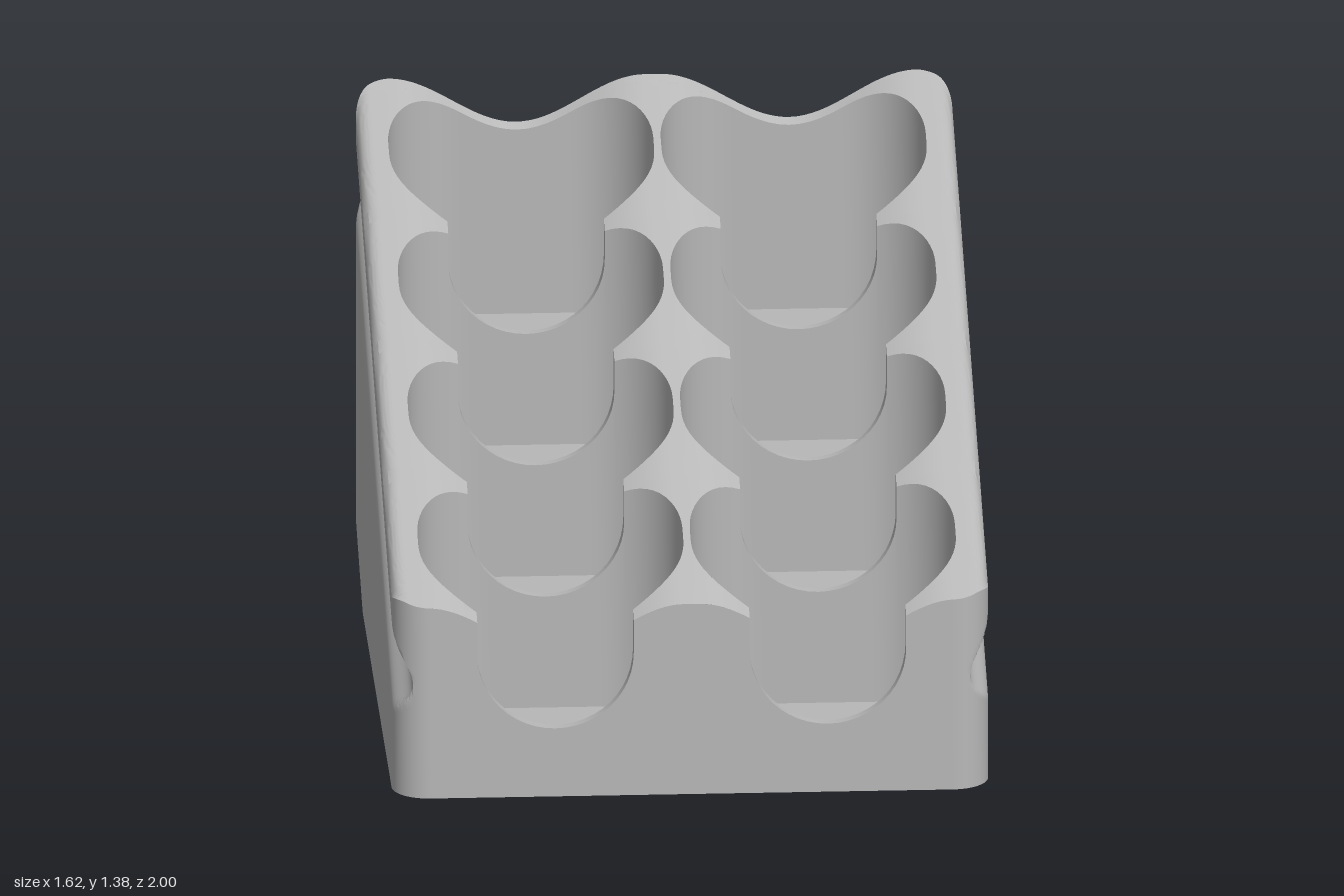
import * as THREE from 'three';
import { mergeGeometries, toCreasedNormals } from 'three/addons/utils/BufferGeometryUtils.js';

// Main sizes
const HX = 0.81, CORNER = 0.1, FLAT_X = HX - CORNER, FLAT_Z = 1 - CORNER;
const COL = 0.37;                                   // column centre, mirrored in x
const ROWS = [0, 1, 2, 3].map(i => 0.737 - 0.4915 * i);
const WR = 0.21, WX = 0.15, WZ = 0.0225;            // well corner radius and flats
const SLOT = 0.2125;                                // slot half width and bottom radius
const BREAK_Z = -0.565;                             // where the rear bevel starts
const slotBottom = i => 0.195 + 0.208 * i;
const floorY = i => slotBottom(i) - 0.11;

const range = (a, b, n) => Array.from({ length: n + 1 }, (_, i) => a + (b - a) * i / n);
const slope = z => 0.545 + 0.417 * (1 - z);
const bottomY = z => Math.max(0, (BREAK_Z - z) * 0.437);

// Sloped top with a wavy dip over each column and softened side edges
function topY(x, z) {
  const ax = Math.abs(x), d = Math.abs(ax - COL);
  const dip = d < 0.35 ? 0.065 * (1 + Math.cos(Math.PI * d / 0.35)) : 0;
  const e = Math.min(0.04, Math.max(0, ax - HX + 0.04));
  return slope(z) - dip - (0.04 - Math.sqrt(0.0016 - e * e));
}

// Half width of the rounded block at depth z
function outerX(z) {
  const d = Math.max(0, Math.abs(z) - FLAT_Z);
  return FLAT_X + Math.sqrt(Math.max(0, CORNER * CORNER - d * d));
}

// Well outline: half width at dz, and half depth at dx
const wellHalf = dz => WX + Math.sqrt(Math.max(0, WR * WR - Math.max(0, Math.abs(dz) - WZ) ** 2));
const wellEdge = dx => WZ + Math.sqrt(Math.max(0, WR * WR - Math.max(0, Math.abs(dx) - WX) ** 2));

// Half width of the opening in the top: wells joined by slots
function openHalf(z) {
  const i = ROWS.reduce((best, r, k) => Math.abs(z - r) < Math.abs(z - ROWS[best]) ? k : best, 0);
  const dz = z - ROWS[i];
  if (i === 3 && dz < 0) return wellHalf(dz);
  return Math.max(SLOT, wellHalf(dz));
}

// Surface through rows of [x, y, z] points
function loft(rows) {
  const pos = [], v = p => new THREE.Vector3(...p);
  const tri = (a, b, c) => {
    const n = v(b).sub(v(a)).cross(v(c).sub(v(a)));
    if (n.length() > 1e-9) pos.push(...a, ...b, ...c);
  };
  for (let i = 0; i < rows.length - 1; i++) {
    for (let j = 0; j < rows[i].length - 1; j++) {
      const a = rows[i][j], b = rows[i][j + 1], c = rows[i + 1][j + 1], d = rows[i + 1][j];
      tri(a, b, d);
      tri(b, c, d);
    }
  }
  const g = new THREE.BufferGeometry();
  g.setAttribute('position', new THREE.Float32BufferAttribute(pos, 3));
  return g;
}

// Vertical wall over points {x, z, lo, hi}
const wall = pts => loft([pts.map(p => [p.x, p.lo, p.z]), pts.map(p => [p.x, p.hi, p.z])]);

// Semicircular slot bottom as [dx, rise], left to right
const U = range(Math.PI, 0, 24).map(a => [SLOT * Math.cos(a), SLOT * (1 - Math.sin(a))]);
const ARC = range(0, Math.acos((SLOT - WX) / WR), 12).map(a => WZ + WR * Math.sin(a));
const CORNER_ANGLES = range(0, Math.PI / 2, 16);
const CORNER_Z = CORNER_ANGLES.map(a => FLAT_Z + CORNER * Math.sin(a));

function topSurface() {
  const backZ = ROWS[3] - WZ - WR;
  const zs = [...CORNER_Z, ...CORNER_Z.map(z => -z), backZ];
  ROWS.forEach(r => ARC.forEach(d => zs.push(r + d, r - d)));
  U.forEach(([dx]) => zs.push(ROWS[3] - wellEdge(dx)));
  zs.sort((a, b) => b - a);
  const row = (z, a, b, n) => range(a, b, n).map(x => [x, topY(x, z), z]);
  const open = zs.filter(z => z >= backZ), back = zs.filter(z => z <= backZ);
  return [
    loft(open.map(z => row(z, -outerX(z), -COL - openHalf(z), 18))),
    loft(open.map(z => row(z, -COL + openHalf(z), COL - openHalf(z), 18))),
    loft(open.map(z => row(z, COL + openHalf(z), outerX(z), 18))),
    loft(back.map(z => row(z, -outerX(z), outerX(z), 72))),
  ];
}

// Side wall with rounded corners and a long grip groove parallel to the top
function sideWall(side) {
  const path = [
    ...CORNER_ANGLES.map(a => [FLAT_X + CORNER * Math.sin(a), FLAT_Z + CORNER * Math.cos(a)]),
    [HX, BREAK_Z],
    ...CORNER_ANGLES.map(a => [FLAT_X + CORNER * Math.cos(a), -FLAT_Z - CORNER * Math.sin(a)]),
  ];
  const groove = off => 0.0265 * (1 + Math.cos(Math.PI * (off - 0.23) / 0.125));
  const rows = [
    path.map(([x, z]) => [x, bottomY(z), z]),
    ...range(0.355, 0.105, 20).map(off =>
      path.map(([x, z]) => [Math.min(x, HX - groove(off)), slope(z) - off, z])),
    path.map(([x, z]) => [x, topY(x, z), z]),
  ];
  return loft(side > 0 ? rows : rows.map(r => r.map(([x, y, z]) => [-x, y, z]).reverse()));
}

function frontWall() {
  const plain = (a, b) => range(a, b, 10).map(x => ({ x, z: 1, lo: 0, hi: topY(x, 1) }));
  const notch = cx => U.map(([dx, r]) => ({ x: cx + dx, z: 1, lo: 0, hi: slotBottom(0) + r }));
  return wall([
    ...plain(-FLAT_X, -COL - SLOT), ...notch(-COL),
    ...plain(-COL + SLOT, COL - SLOT), ...notch(COL),
    ...plain(COL + SLOT, FLAT_X),
  ]);
}

const backWall = () => wall(range(FLAT_X, -FLAT_X, 72)
  .map(x => ({ x, z: -1, lo: bottomY(-1), hi: topY(x, -1) })));

function underside() {
  const zs = [...CORNER_Z, ...CORNER_Z.map(z => -z), BREAK_Z].sort((a, b) => a - b);
  return loft(zs.map(z => [[-outerX(z), bottomY(z), z], [outerX(z), bottomY(z), z]]));
}

// Well: back, right, front and left walls around the floor
function wellWalls(cx, i) {
  const zc = ROWS[i], lo = floorY(i);
  const tall = (x, z) => ({ x, z, lo, hi: topY(x, z) });
  const dzs = [...ARC.map(d => -d).reverse(), ...ARC];
  const back = U.map(([dx, r]) => {
    const x = cx + dx, z = zc - wellEdge(dx);
    return i === 3 ? tall(x, z) : { x, z, lo, hi: slotBottom(i + 1) + r };
  });
  const right = dzs.map(d => tall(cx + wellHalf(d), zc + d));
  const front = U.map(([dx, r]) => ({ x: cx + dx, z: zc + wellEdge(dx), lo, hi: slotBottom(i) + r })).reverse();
  const left = dzs.map(d => tall(cx - wellHalf(d), zc + d)).reverse();
  return wall([...back, ...right, ...front, ...left]);
}

function wellFloor(cx, i) {
  const dzs = [...ARC, ...U.map(([dx]) => wellEdge(dx))];
  const zs = [...dzs, ...dzs.map(d => -d)].sort((a, b) => b - a);
  return loft(zs.map(d => [-1, 1].map(s => [cx + s * wellHalf(d), floorY(i), ROWS[i] + d])));
}

// Round-bottomed slot through the wall in front of a well
function slot(cx, i) {
  const section = zAt => {
    const side = s => [cx + s * SLOT, topY(cx + s * SLOT, zAt(SLOT)), zAt(SLOT)];
    return [side(-1), ...U.map(([dx, r]) => [cx + dx, slotBottom(i) + r, zAt(dx)]), side(1)];
  };
  const frontZ = dx => i === 0 ? 1 : ROWS[i - 1] - wellEdge(dx);
  return loft([section(frontZ), section(dx => ROWS[i] + wellEdge(dx))]);
}

export function createModel() {
  const grey = new THREE.MeshStandardMaterial({ color: 0xb8b8b8, side: THREE.DoubleSide });
  grey.name = 'grey';
  const model = new THREE.Group();
  model.name = 'slopedHolder';
  const add = (name, parts, parent = model) => {
    const mesh = new THREE.Mesh(toCreasedNormals(mergeGeometries(parts), 0.6), grey);
    mesh.name = name;
    parent.add(mesh);
  };

  add('outerWalls', [frontWall(), sideWall(1), backWall(), sideWall(-1)]);
  add('topSurface', topSurface());
  add('underside', [underside()]);

  for (const side of [-1, 1]) {
    ROWS.forEach((_, i) => {
      const well = new THREE.Group();
      well.name = `${side > 0 ? 'left' : 'right'}Well${i + 1}`;
      add('wellWalls', [wellWalls(side * COL, i)], well);
      add('wellFloor', [wellFloor(side * COL, i)], well);
      add('frontSlot', [slot(side * COL, i)], well);
      model.add(well);
    });
  }
  return model;
}
